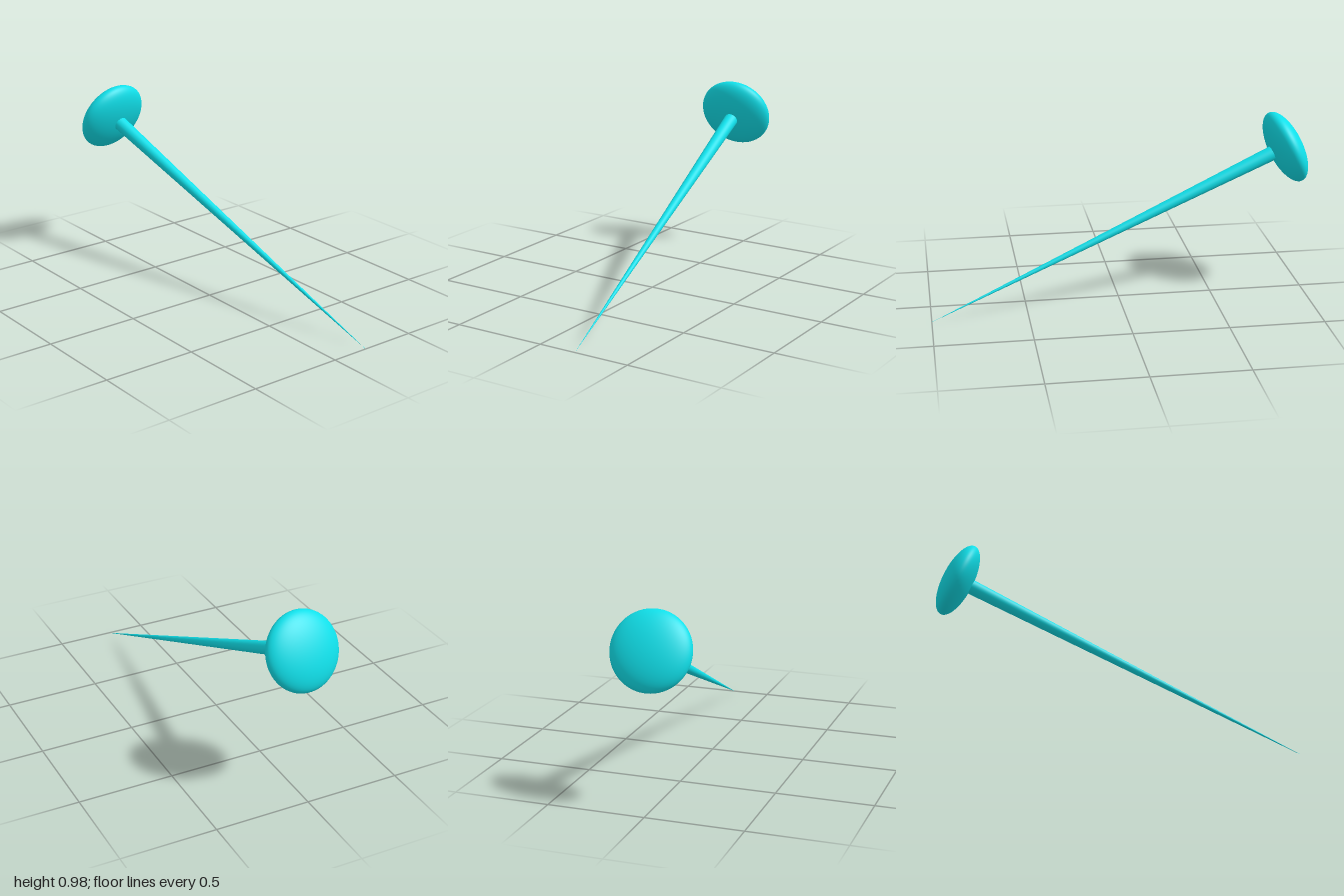
import * as THREE from 'three';

export function createModel() {
  const model = new THREE.Group();
  model.name = 'pin';
  const material = new THREE.MeshStandardMaterial({ color: 0x10e0ea });

  // The pin runs along one slanted axis, from its point up to the head centre
  const tip = new THREE.Vector3(0.203, 0, 1);
  const headCentre = new THREE.Vector3(-0.004, 0.793, -0.892);
  const length = tip.distanceTo(headCentre);
  const axis = headCentre.clone().sub(tip).normalize();

  const pin = new THREE.Group();
  pin.name = 'pinBody';
  pin.position.copy(tip);
  pin.quaternion.setFromUnitVectors(new THREE.Vector3(0, 1, 0), axis);
  model.add(pin);

  // Needle: a long cone, sharp at the origin, its wide end inside the head
  const needleGeometry = new THREE.CylinderGeometry(0.04, 0, length, 32);
  needleGeometry.translate(0, length / 2, 0);
  const needle = new THREE.Mesh(needleGeometry, material);
  needle.name = 'needle';
  pin.add(needle);

  // Head: a sphere flattened along the axis
  const headGeometry = new THREE.SphereGeometry(0.2, 64, 40);
  headGeometry.scale(1, 0.4, 1);
  const head = new THREE.Mesh(headGeometry, material);
  head.name = 'head';
  head.position.y = length;
  pin.add(head);

  return model;
}
